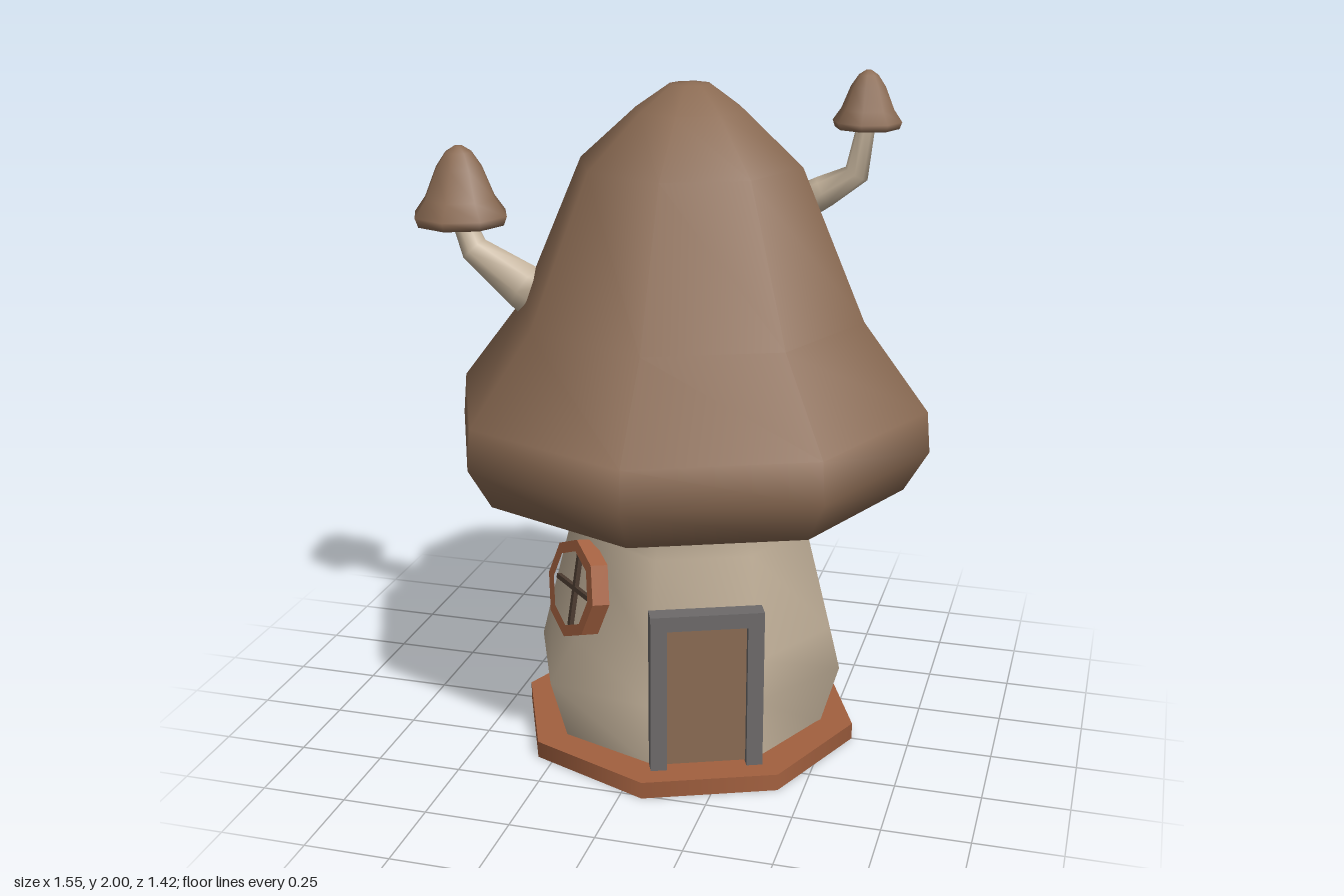
import * as THREE from 'three';
import { mergeVertices } from 'three/addons/utils/BufferGeometryUtils.js';

const mat = (name, color) => Object.assign(new THREE.MeshStandardMaterial({ color }), { name });
const AXIS_X = 0.065;
const SIDES = 8;

function add(parent, name, geometry, material) {
  const mesh = new THREE.Mesh(geometry, material);
  mesh.name = name;
  parent.add(mesh);
  return mesh;
}

// Eight-sided turned shape from [radius, height] pairs, bottom to top
const turned = (pairs) =>
  new THREE.LatheGeometry(pairs.map(([r, y]) => new THREE.Vector2(r, y)), SIDES);

// Merge seams and smooth the normals
function smooth(geometry) {
  geometry.deleteAttribute('uv');
  geometry.deleteAttribute('normal');
  const merged = mergeVertices(geometry, 1e-4);
  merged.computeVertexNormals();
  return merged;
}

// Tapered round stalk along a bent path of [x, y, radius] in an upright plane
function stalkGeometry(path) {
  const pos = [], index = [];
  path.forEach(([x, y, r], i) => {
    const a = path[Math.max(i - 1, 0)], b = path[Math.min(i + 1, path.length - 1)];
    const t = new THREE.Vector2(b[0] - a[0], b[1] - a[1]).normalize();
    for (let j = 0; j < SIDES; j++) {
      const ang = (j / SIDES) * Math.PI * 2;
      const c = Math.cos(ang) * r, s = Math.sin(ang) * r;
      pos.push(x - t.y * c, y + t.x * c, s);
      if (i > 0) {
        const k = (j + 1) % SIDES, p = (i - 1) * SIDES, q = i * SIDES;
        index.push(p + j, q + j, p + k, p + k, q + j, q + k);
      }
    }
  });
  // Close the root end
  pos.push(path[0][0], path[0][1], 0);
  for (let j = 0; j < SIDES; j++) index.push(pos.length / 3 - 1, j, (j + 1) % SIDES);
  const g = new THREE.BufferGeometry();
  g.setAttribute('position', new THREE.Float32BufferAttribute(pos, 3));
  g.setIndex(index);
  g.computeVertexNormals();
  return g;
}

function polygon(radius, Type) {
  const pts = [];
  for (let i = 0; i < SIDES; i++) {
    const a = (i / SIDES) * Math.PI * 2;
    pts.push(new THREE.Vector2(Math.sin(a) * radius * 0.95, Math.cos(a) * radius));
  }
  return new Type(pts);
}

export function createModel() {
  const brown = mat('mushroomBrown', 0x8b6b53);
  const cream = mat('stemCream', 0xc0af98);
  const clay = mat('clay', 0xa2603f);
  const grey = mat('stoneGrey', 0x6d6a6a);
  const dark = mat('darkWood', 0x4b3b30);
  cream.side = THREE.DoubleSide;

  const model = new THREE.Group();
  model.name = 'mushroomHouse';
  const house = new THREE.Group();
  house.name = 'house';
  house.position.x = AXIS_X;
  model.add(house);

  // Base slab
  add(house, 'baseSlab', new THREE.CylinderGeometry(0.515, 0.515, 0.05, SIDES), clay)
    .position.y = 0.025;

  // Stem wall, flattened behind the door and dented behind the window
  const rings = [[0.415, 0.04], [0.47, 0.23], [0.438, 0.36], [0.359, 0.67], [0.346, 0.72], [0.352, 0.83]];
  const wall = turned(rings);
  const p = wall.attributes.position;
  for (let i = 0; i < p.count; i++) {
    const seg = Math.floor(i / rings.length) % SIDES, ring = i % rings.length;
    const r = rings[ring][0];
    let limit = r;
    if (seg < 2) limit = 0.4;
    if (seg === 7 && ring === 2) limit = 0.385;
    if (seg === 7 && ring === 3) limit = 0.335;
    const k = Math.min(1, limit / r);
    p.setXYZ(i, p.getX(i) * k, p.getY(i), p.getZ(i) * k);
  }
  add(house, 'stemWall', smooth(wall), cream);

  // Roof cap with closed underside
  add(house, 'roofCap', turned([
    [0, 0.82], [0.64, 0.82], [0.71, 0.94], [0.7, 1.06], [0.51, 1.31],
    [0.325, 1.74], [0.16, 1.89], [0.06, 1.96], [0, 1.965],
  ]), brown);

  // Door with a stone surround
  const door = new THREE.Group();
  door.name = 'door';
  door.rotation.y = Math.PI / 8;
  house.add(door);
  const w = 0.163, t = 0.047;
  const surround = new THREE.Shape([
    [-w, 0.05], [-w + t, 0.05], [-w + t, 0.485], [w - t, 0.485],
    [w - t, 0.05], [w, 0.05], [w, 0.53], [-w, 0.53],
  ].map(([x, y]) => new THREE.Vector2(x, y)));
  add(door, 'doorFrame', new THREE.ExtrudeGeometry(surround, {
    depth: 0.055, bevelEnabled: false,
  }), grey).position.z = 0.357;
  add(door, 'doorPanel', new THREE.BoxGeometry(2 * (w - t), 0.43, 0.008), brown)
    .position.set(0, 0.272, 0.385);

  // Eight-sided window with crossing bars
  const turn = new THREE.Group();
  turn.name = 'window';
  turn.rotation.y = -Math.PI / 4;
  house.add(turn);
  const pane = new THREE.Group();
  pane.name = 'windowFrame';
  pane.position.set(0, 0.515, 0.365);
  pane.rotation.x = -0.16;
  turn.add(pane);
  const ringShape = polygon(0.15, THREE.Shape);
  ringShape.holes.push(polygon(0.115, THREE.Path));
  add(pane, 'windowRing', new THREE.ExtrudeGeometry(ringShape, {
    depth: 0.055, bevelEnabled: false,
  }), clay).position.z = -0.02;
  add(pane, 'uprightBar', new THREE.BoxGeometry(0.014, 0.23, 0.014), dark).position.z = 0.018;
  add(pane, 'crossBar', new THREE.BoxGeometry(0.22, 0.014, 0.014), dark).position.z = 0.018;

  // Small mushrooms growing from the roof
  const sprouts = [
    { name: 'rightSprout', x: -0.635, y: 1.525, z: 0, r: 0.145, h: 0.23,
      path: [[-0.385, 1.315, 0.085], [-0.44, 1.345, 0.073], [-0.595, 1.45, 0.045], [-0.635, 1.55, 0.033]] },
    { name: 'leftSprout', x: 0.545, y: 1.84, z: -0.115, r: 0.098, h: 0.16,
      path: [[0.36, 1.615, 0.052], [0.43, 1.655, 0.046], [0.52, 1.71, 0.036], [0.545, 1.86, 0.025]] },
  ];
  for (const s of sprouts) {
    const sprout = new THREE.Group();
    sprout.name = s.name;
    sprout.position.z = s.z;
    model.add(sprout);
    add(sprout, 'sproutStalk', stalkGeometry(s.path), cream);
    const profile = [[0, 0], [0.93, 0], [1, 0.12], [0.76, 0.33], [0.5, 0.72], [0.28, 0.92], [0.08, 1], [0, 1]];
    add(sprout, 'sproutCap', turned(profile.map(([r, y]) => [r * s.r, y * s.h])), brown)
      .position.set(s.x, s.y, 0);
  }
  return model;
}
